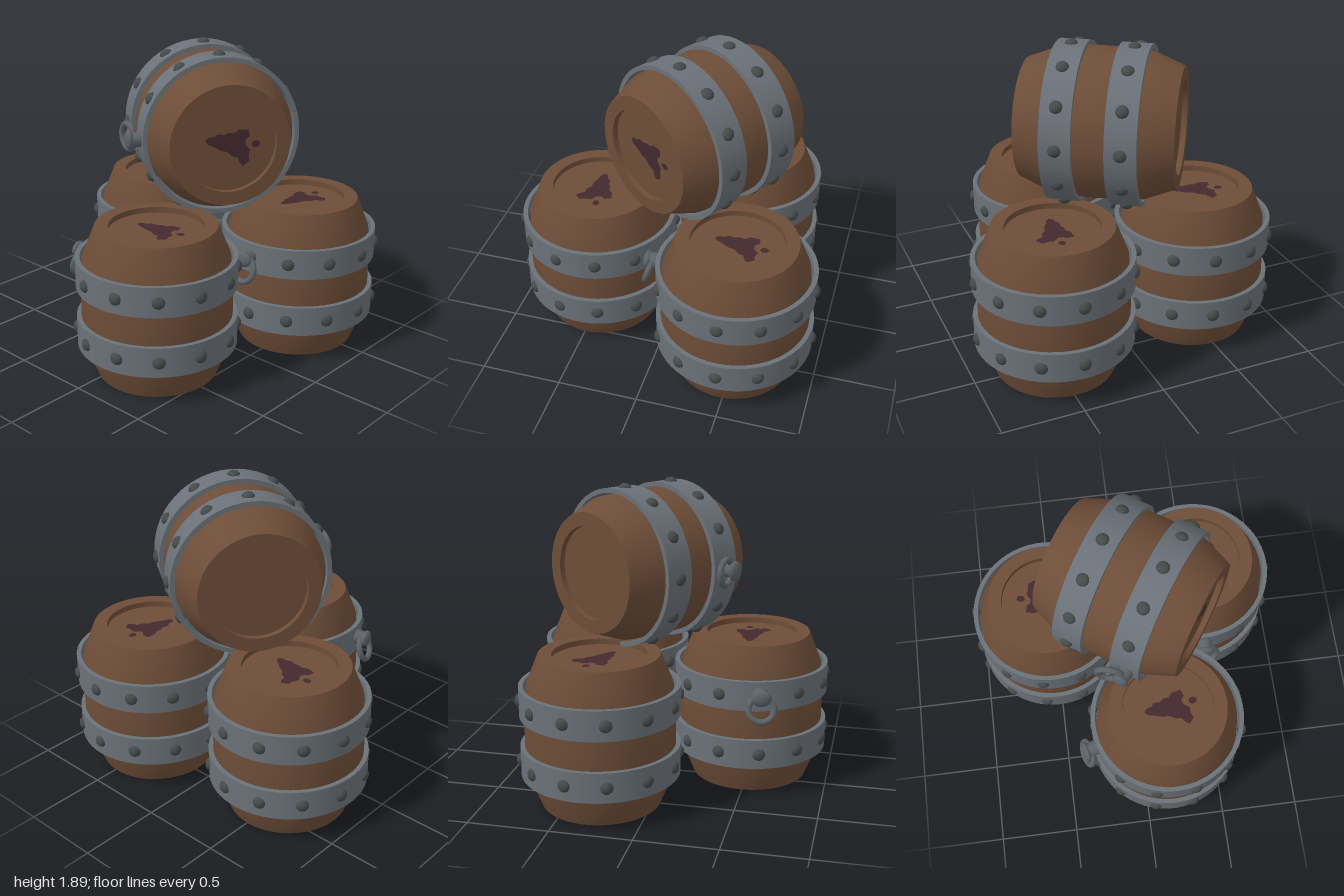
import * as THREE from 'three';
import { mergeGeometries } from 'three/addons/utils/BufferGeometryUtils.js';

const material = (name, color) => {
  const m = new THREE.MeshStandardMaterial({ color });
  m.name = name;
  return m;
};

const rad = THREE.MathUtils.degToRad;
const HEIGHT = 0.94;
const HOOPS = [0.2875, 0.6625]; // hoop centre heights

// Turned solid made of separate profiles, so the edges between them stay sharp
function turned(profiles, segments = 56) {
  return mergeGeometries(profiles.map((p) =>
    new THREE.LatheGeometry(p.map(([r, y]) => new THREE.Vector2(r, y)), segments)));
}

function mesh(name, geometry, mat) {
  const m = new THREE.Mesh(geometry, mat);
  m.name = name;
  return m;
}

// Bulging body with a recessed head at each end
function bodyGeometry() {
  const rim = 0.365, head = 0.283, depth = 0.035, top = HEIGHT;
  return turned([
    [[0, depth], [head, depth]],
    [[head, depth], [head, 0]],
    [[head, 0], [rim, 0]],
    [[rim, 0], [0.441, 0.19], [0.455, 0.38], [0.455, 0.56], [0.441, 0.75], [rim, top]],
    [[rim, top], [head, top]],
    [[head, top], [head, top - depth]],
    [[head, top - depth], [0, top - depth]],
  ]);
}

function hoopGeometry() {
  const h = 0.0925, outer = 0.484, inner = 0.456;
  return turned([
    [[outer, -h], [outer, h]],
    [[outer, h], [inner, h]],
    [[inner, h], [inner, -h]],
    [[inner, -h], [outer, -h]],
  ]);
}

// Irregular spill with one separate drop
function stainGeometry() {
  const outline = [
    [-0.145, 0.03], [-0.125, 0.05], [-0.09, 0.05], [-0.07, 0.068], [-0.03, 0.06], [0, 0.072],
    [0.03, 0.066], [0.06, 0.088], [0.12, 0.085], [0.122, 0.04], [0.1, 0.025], [0.098, -0.005],
    [0.128, -0.04], [0.12, -0.075], [0.125, -0.11], [0.085, -0.138], [0.065, -0.115],
    [0.055, -0.085], [0.02, -0.075], [-0.01, -0.045], [-0.05, -0.035], [-0.09, -0.01],
    [-0.125, 0.005],
  ];
  const spill = new THREE.Shape(outline.map(([x, y]) => new THREE.Vector2(x, y)));
  const drop = new THREE.Shape();
  drop.absellipse(0.163, -0.006, 0.026, 0.021, 0, Math.PI * 2);
  return new THREE.ShapeGeometry([spill, drop], 8)
    .rotateX(-Math.PI / 2)
    .translate(0, HEIGHT - 0.032, 0);
}

export function createModel() {
  const wood = material('brown wood', 0x6d4d38);
  const iron = material('grey iron', 0x6a7178);
  const rivetIron = material('dark rivet iron', 0x454b4b);
  const ringIron = material('ring iron', 0x5c6268);
  const stainColor = material('dark wine stain', 0x44292e);

  const body = bodyGeometry();
  const hoop = hoopGeometry();
  const stain = stainGeometry();
  const rivet = new THREE.SphereGeometry(0.039, 14, 10).scale(0.75, 1, 1);
  const stem = new THREE.CylinderGeometry(0.042, 0.05, 0.09, 16).rotateZ(Math.PI / 2);
  const cap = new THREE.SphereGeometry(0.056, 16, 12).scale(0.5, 0.9, 1.1);
  const ringLoop = new THREE.TorusGeometry(0.077, 0.019, 10, 28).rotateY(Math.PI / 2);

  // Upright barrel standing on y = 0, with its ring on the -x side
  function barrel(name) {
    const g = new THREE.Group();
    g.name = name;
    g.add(mesh('barrelBody', body, wood), mesh('stain', stain, stainColor));

    for (const y of HOOPS) {
      const band = mesh('hoop', hoop, iron);
      band.position.y = y;
      g.add(band);
      for (let i = 0; i < 12; i++) {
        const a = (i * Math.PI) / 6;
        const r = mesh('rivet', rivet, rivetIron);
        r.position.set(Math.cos(a) * 0.479, y, -Math.sin(a) * 0.479);
        r.rotation.y = a;
        g.add(r);
      }
    }

    // Hanging ring and its mount
    const mount = mesh('ringStem', stem, ringIron);
    mount.position.set(-0.51, 0.675, 0);
    const knob = mesh('ringKnob', cap, ringIron);
    knob.position.set(-0.55, 0.675, 0);
    const ring = mesh('hangingRing', ringLoop, ringIron);
    ring.position.set(-0.543, 0.605, 0);
    ring.rotation.z = -0.3;
    g.add(mount, knob, ring);
    return g;
  }

  const model = new THREE.Group();
  model.name = 'barrelStack';

  // Three standing barrels: name, x, z, turn in degrees
  for (const [name, x, z, turn] of [
    ['rightBarrel', -0.49, 0.165, -75],
    ['backBarrel', 0.32, -0.51, 80],
    ['frontBarrel', 0.48, 0.48, 0],
  ]) {
    const b = barrel(name);
    b.position.set(x, 0, z);
    b.rotation.y = rad(turn);
    model.add(b);
  }

  // Barrel lying on top, its stained head turned to the front
  const lying = new THREE.Group();
  lying.name = 'topBarrel';
  const inner = barrel('lyingBarrel');
  inner.position.y = -HEIGHT / 2;
  lying.add(inner);
  lying.rotation.set(Math.PI / 2, rad(-34.2), 0, 'YXZ');
  lying.position.set(0.15, 1.382, 0.02);
  model.add(lying);

  return model;
}
